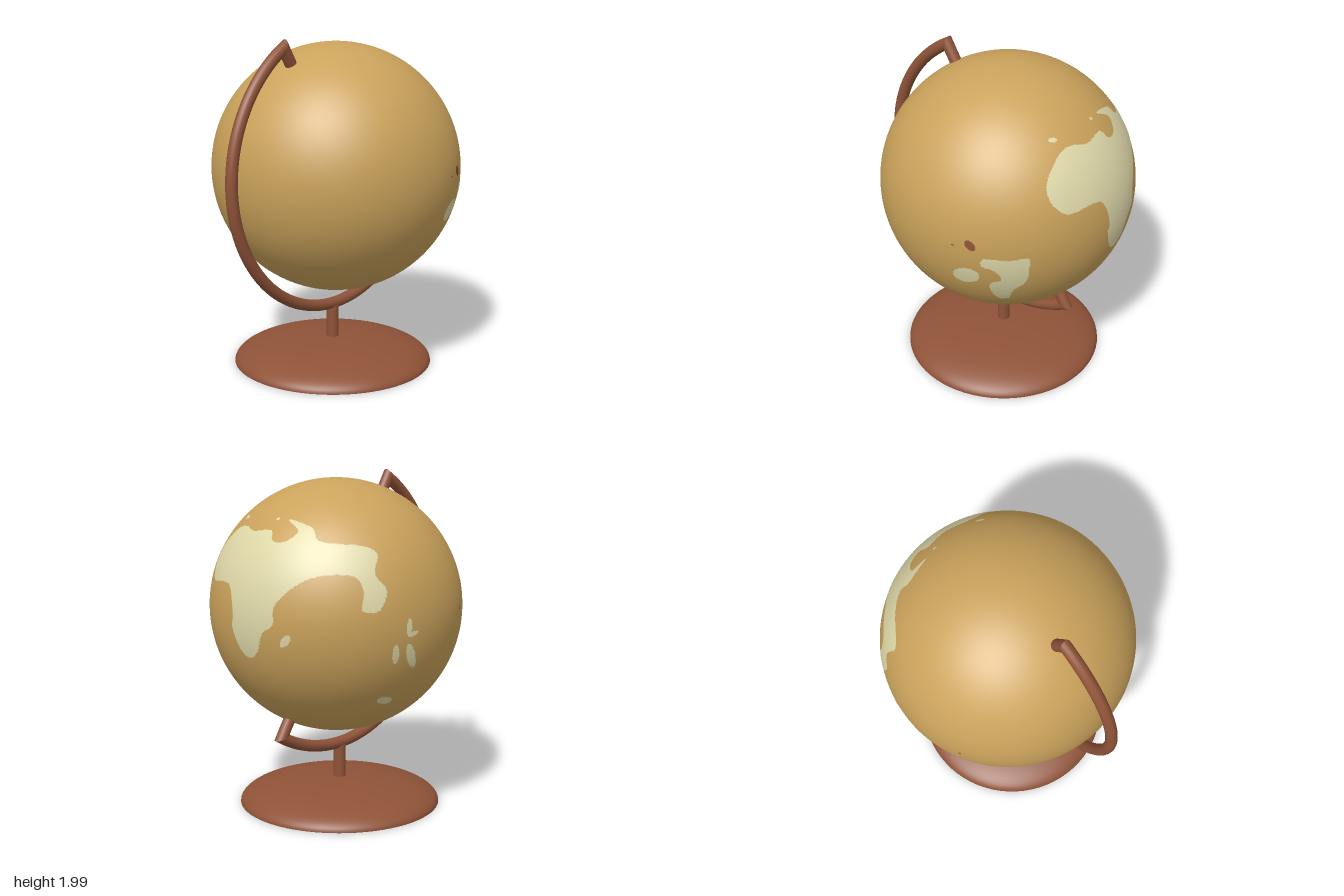
import * as THREE from 'three';

const R = 0.745, CX = 0.07, CY = 1.21;   // globe radius and centre
const BASE_X = 0.042;                    // axis of base and stem
const rad = THREE.MathUtils.degToRad;
const TILT = rad(31);

const mat = (name, color, side = THREE.FrontSide) => {
  const m = new THREE.MeshStandardMaterial({ color, side });
  m.name = name;
  return m;
};

// Flattens the globe along a direction: azimuth (from +z towards +x), elevation.
// Returns a test for points inside a flat outline facing that direction.
function facing(azimuth, elevation) {
  const a = rad(azimuth), e = rad(elevation);
  const right = new THREE.Vector3(Math.cos(a), 0, -Math.sin(a));
  const out = new THREE.Vector3(Math.sin(a) * Math.cos(e), Math.sin(e), Math.cos(a) * Math.cos(e));
  const up = new THREE.Vector3().crossVectors(out, right);
  return (isInside) => (p) => p.dot(out) > 0 && isInside(p.dot(right) * 100, p.dot(up) * 100);
}

// Smooth closed coast through a few points, in hundredths of a unit
function coast(points) {
  const curve = new THREE.CatmullRomCurve3(points.map(([x, y]) => new THREE.Vector3(x, y, 0)), true);
  const line = curve.getPoints(points.length * 5);
  return (u, v) => {
    let inside = false;
    for (let i = 1; i < line.length; i++) {
      const p = line[i - 1], q = line[i];
      if ((p.y > v) !== (q.y > v) && u < ((q.x - p.x) * (v - p.y)) / (q.y - p.y) + p.x) inside = !inside;
    }
    return inside;
  };
}

// Oval island: centre, half width, half height, turn in degrees
function oval(x, y, w, h, turn = 0) {
  const c = Math.cos(rad(turn)), s = Math.sin(rad(turn));
  return (u, v) => Math.hypot(((u - x) * c + (v - y) * s) / w, ((v - y) * c - (u - x) * s) / h) < 1;
}

const front = facing(0, 0), side = facing(90, 0), rear = facing(140, -30), back = facing(220, 25);

const mainland = coast([
  [-38, 34], [-38, 24], [-32, 18], [-17, 19], [-10, 17], [-5, 2], [-6, -4], [0, -18], [6, -21],
  [12, -17], [17, -6], [24, 0], [24, 9], [40, 25], [56, 26], [61, 18], [62, 8], [66, 7], [67, 18],
  [62, 27], [59, 37], [54, 41], [36, 44], [30, 50], [14, 54], [24, 48], [20, 43], [12, 43],
  [8, 48], [-6, 47], [-17, 49], [-26, 46],
]);
const southland = coast([
  [34, -6], [46, -6], [54, -5], [54, -11], [51, -23], [44, -31],
  [39, -40], [35, -41], [35, -25], [41, -21], [39, -14], [33, -11],
]);

const LAND = [
  side(mainland),
  side(oval(-23, 53, 2.2, 1)),
  side(oval(7, 54, 1, 0.8)),
  side(oval(30, -9, 4.2, 2, 52)),
  front(southland),
  front(oval(23.5, -20.5, 8, 5.5, 28)),
  rear(oval(27, 19, 2, 5.5)),
  rear(oval(34.5, 31, 1.6, 4.5)),
  rear(oval(37, 27, 3, 1.2)),
  rear(oval(36, 15, 2.4, 8, 14)),
  rear(oval(22.5, -12, 4.8, 3, -30)),
];
const DARK_ISLANDS = [
  front(oval(28, 2, 2.4, 3.6, 35)),
  front(oval(18.5, 0.5, 0.6, 0.6)),
  back(oval(-18.2, -29, 0.8, 1.2)),
];

// Keeps only those faces of a fine sphere that lie within the outlines
function spherePatches(tests) {
  const geo = new THREE.SphereGeometry(R + 0.002, 600, 300);
  const pos = geo.attributes.position, idx = geo.index.array, kept = [];
  const p = new THREE.Vector3(), q = new THREE.Vector3();
  for (let i = 0; i < idx.length; i += 3) {
    p.set(0, 0, 0);
    for (let k = 0; k < 3; k++) p.add(q.fromBufferAttribute(pos, idx[i + k]));
    p.divideScalar(3);
    if (tests.some((t) => t(p))) kept.push(idx[i], idx[i + 1], idx[i + 2]);
  }
  geo.setIndex(kept);
  return geo.toNonIndexed();
}

// Round bar swept along stations {x, y, mx, my}: centre and in-plane ring axis
function sweep(stations, r, sides = 20) {
  const pos = [], idx = [];
  stations.forEach(({ x, y, mx, my }, i) => {
    for (let s = 0; s <= sides; s++) {
      const a = (s / sides) * Math.PI * 2, c = Math.cos(a) * r;
      pos.push(x + c * mx, y + c * my, Math.sin(a) * r);
      if (i && s) {
        const d = i * (sides + 1) + s, b = d - sides - 1;
        idx.push(b - 1, d, b, b - 1, d - 1, d);
      }
    }
  });
  const geo = new THREE.BufferGeometry();
  geo.setAttribute('position', new THREE.Float32BufferAttribute(pos, 3));
  geo.setIndex(idx);
  geo.computeVertexNormals();
  return geo;
}

export function createModel() {
  const model = new THREE.Group();
  model.name = 'deskGlobe';
  const ocean = mat('ochreOcean', 0xcaa25b);
  const land = mat('paleLand', 0xdfd8a9);
  const wood = mat('redBrownWood', 0x8f5338, THREE.DoubleSide);

  const add = (name, geo, material, x, y) => {
    const m = new THREE.Mesh(geo, material);
    m.name = name;
    m.position.set(x, y, 0);
    model.add(m);
  };

  // Globe with painted land
  add('globe', new THREE.SphereGeometry(R, 96, 64), ocean, CX, CY);
  add('continents', spherePatches(LAND), land, CX, CY);
  add('darkIslands', spherePatches(DARK_ISLANDS), wood, CX, CY);

  // Half-ring arm, ending in mitred corners with pegs that point into the globe
  const ARM = 0.855, BAR = 0.035, steps = 72;
  const arc = [];
  for (let i = 0; i <= steps; i++) {
    const t = Math.PI / 2 + TILT + (i / steps) * Math.PI, c = Math.cos(t), s = Math.sin(t);
    const station = { x: ARM * c, y: ARM * s, mx: c, my: s };
    arc.push(station);
    if (i % steps) continue;
    const end = i ? -1 : 1, nx = s * end, ny = -c * end;
    station.mx += nx;
    station.my += ny;
    const tip = { x: (R - 0.1) * c, y: (R - 0.1) * s, mx: nx, my: ny };
    add(i ? 'lowerPeg' : 'upperPeg', sweep(i ? [station, tip] : [tip, station], BAR), wood, CX, CY);
  }
  add('arm', sweep(arc, BAR), wood, CX, CY);

  // Stem, whose foot pokes through the hollow base
  add('stem', new THREE.CylinderGeometry(0.037, 0.037, 0.245, 24), wood, BASE_X, 0.2225);

  // Hollow domed base
  const dome = new THREE.SphereGeometry(0.605, 72, 20, 0, Math.PI * 2, 0, Math.PI / 2);
  dome.scale(1, 0.145 / 0.605, 1);
  add('base', dome, wood, BASE_X, 0);

  return model;
}
